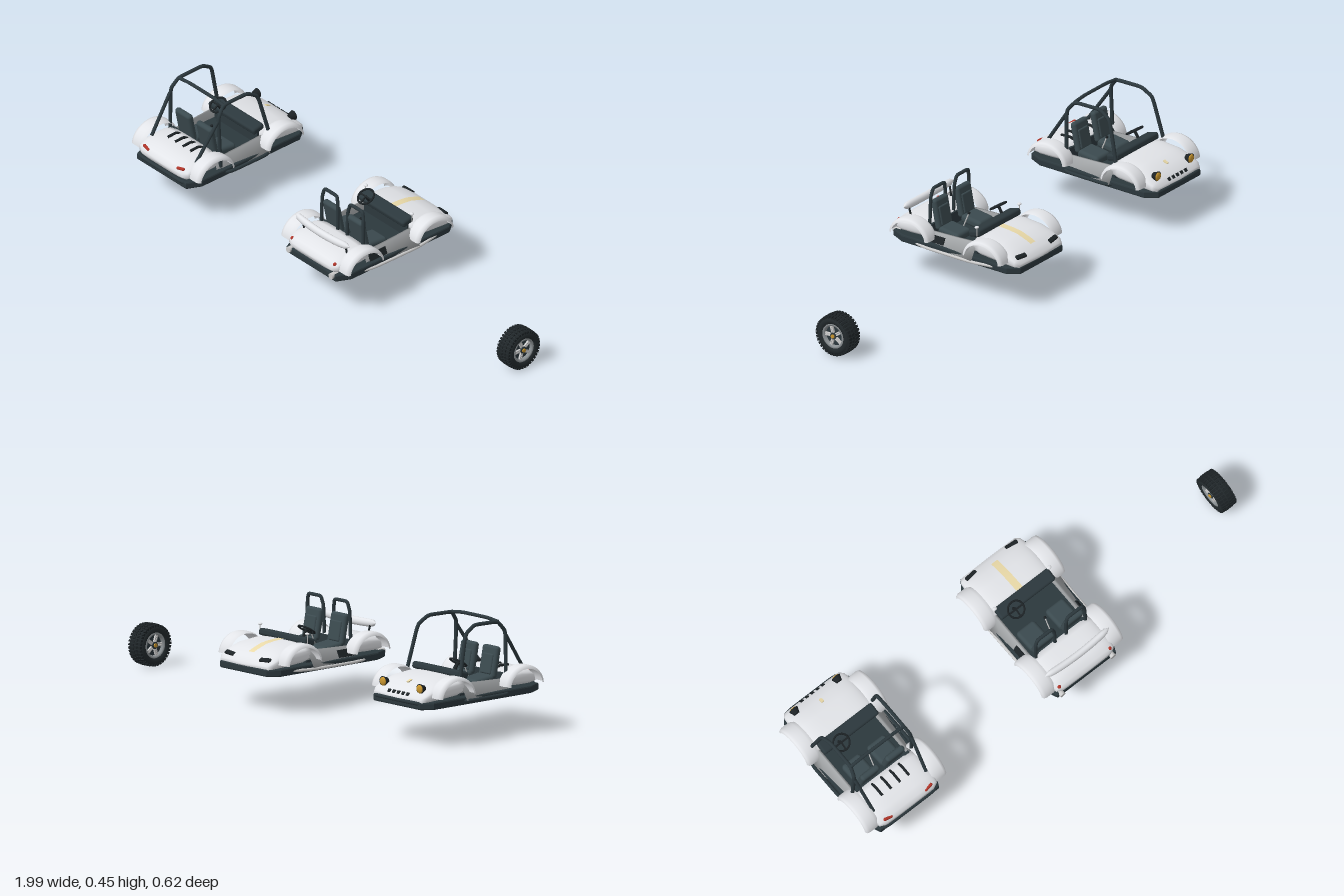
import * as THREE from 'three';
import { RoundedBoxGeometry } from 'three/addons/geometries/RoundedBoxGeometry.js';

const mat = (color, extra = {}) => new THREE.MeshStandardMaterial({ color, ...extra });
const two = { side: THREE.DoubleSide };
const M = {
  body: mat(0xe2e4e8, two), panel: mat(0xa5a8aa, two), grey: mat(0xcccccc), dark: mat(0x2c383d, two),
  black: mat(0x1d2326), seat: mat(0x3b4a4f), red: mat(0xb03428), gold: mat(0xc9962f), stripe: mat(0xe9d9a8),
};

function add(parent, name, geo, material, x = 0, y = 0, z = 0, rx = 0, ry = 0, rz = 0) {
  const m = new THREE.Mesh(geo, material);
  m.name = name;
  m.position.set(x, y, z);
  m.rotation.set(rx, ry, rz);
  parent.add(m);
  return m;
}
const box = (w, h, d) => new THREE.BoxGeometry(w, h, d);
const rbox = (w, h, d, r) => new RoundedBoxGeometry(w, h, d, 3, r);
const cyl = (r, h, n = 20, r2 = r) => new THREE.CylinderGeometry(r, r2, h, n);

// Tube with gentle corners through a few points
function tube(pts, r) {
  const v = pts.map(p => new THREE.Vector3(...p));
  const path = new THREE.CurvePath();
  let last = v[0];
  for (let i = 1; i < v.length - 1; i++) {
    const a = v[i].clone().lerp(v[i - 1], 0.2), b = v[i].clone().lerp(v[i + 1], 0.2);
    path.add(new THREE.LineCurve3(last, a));
    path.add(new THREE.QuadraticBezierCurve3(a, v[i], b));
    last = b;
  }
  path.add(new THREE.LineCurve3(last, v[v.length - 1]));
  return new THREE.TubeGeometry(path, v.length * 12, r, 10, false);
}

// Surface through a row of cross-sections
function skin(sections, closed) {
  const n = sections[0].length, idx = [];
  for (let i = 0; i < sections.length - 1; i++)
    for (let j = 0; j < (closed ? n : n - 1); j++) {
      const a = i * n + j, b = i * n + (j + 1) % n;
      idx.push(a, b, a + n, b, b + n, a + n);
    }
  const g = new THREE.BufferGeometry();
  g.setAttribute('position', new THREE.Float32BufferAttribute(sections.flat(2), 3));
  g.setIndex(idx);
  g.computeVertexNormals();
  return g;
}

// Rounded shell from stations [z, halfWidth, bottom, top]
function shell(stations) {
  return skin(stations.map(([z, w, b, t]) => Array.from({ length: 40 }, (_, i) => {
    const a = i / 40 * Math.PI * 2, p = v => Math.sign(v) * Math.abs(v) ** 0.6;
    return [w * p(Math.cos(a)), (b + t) / 2 + (t - b) / 2 * p(Math.sin(a)), z];
  })), true);
}

// Arched mudguard strip with a turned-down outer lip
function fender(s, zc) {
  const rows = [];
  for (let i = 0; i <= 24; i++) {
    const a = Math.PI * (0.03 + 0.94 * i / 24);
    rows.push([[0.135, 0.006], [0.15, 0], [0.185, 0], [0.196, 0.004], [0.2, 0.014]].map(([x, d]) =>
      [s * x, 0.183 + (0.083 - d) * Math.sin(a), zc + (0.096 - d) * Math.cos(a)]));
  }
  return skin(rows, false);
}

// Floor pan, body shells, mudguards, sills, seats and controls shared by both buggies
function buggy(name, x, seatX) {
  const g = new THREE.Group();
  g.name = name;
  g.position.x = x;
  const pan = new THREE.Shape([
    [-0.13, -0.3], [0.13, -0.3], [0.16, -0.26], [0.165, 0.24], [0.14, 0.295], [-0.14, 0.295], [-0.165, 0.24], [-0.16, -0.26],
  ].map(p => new THREE.Vector2(...p)));
  add(g, 'floorPan', new THREE.ExtrudeGeometry(pan, { depth: 0.018, bevelSize: 0.006, bevelThickness: 0.006, bevelSegments: 2 })
    .rotateX(Math.PI / 2), M.dark, 0, 0.17, 0);
  add(g, 'hood', shell([
    [-0.09, 0.001, 0.21, 0.211], [-0.09, 0.148, 0.18, 0.25], [-0.12, 0.154, 0.17, 0.252], [-0.2, 0.155, 0.165, 0.245],
    [-0.25, 0.153, 0.163, 0.228], [-0.285, 0.148, 0.163, 0.208], [-0.302, 0.136, 0.166, 0.19], [-0.306, 0.001, 0.177, 0.178],
  ]), M.body);
  add(g, 'rearDeck', shell([
    [0.135, 0.001, 0.21, 0.211], [0.135, 0.146, 0.18, 0.238], [0.16, 0.152, 0.173, 0.244], [0.21, 0.153, 0.17, 0.246],
    [0.26, 0.151, 0.17, 0.238], [0.29, 0.143, 0.174, 0.222], [0.301, 0.12, 0.183, 0.206], [0.303, 0.001, 0.195, 0.196],
  ]), M.body);
  add(g, 'cockpitFloor', box(0.27, 0.02, 0.24), M.dark, 0, 0.175, 0.02);
  add(g, 'rearBulkhead', box(0.26, 0.06, 0.01), M.dark, 0, 0.205, 0.133);
  for (const s of [1, -1]) {
    add(g, 'frontFender', fender(s, -0.165), M.body);
    add(g, 'rearFender', fender(s, 0.19), M.body);
    // Sloping sill between the shells
    add(g, 'sidePanel', skin([[0.15, 0.155, 0.208], [0.12, 0.16, 0.215], [0, 0.17, 0.22], [-0.1, 0.178, 0.226]].map(([z, w, t]) =>
      [[s * 0.13, 0.165, z], [s * 0.13, t, z], [s * 0.138, t, z], [s * w, 0.162, z], [s * 0.13, 0.16, z]]), false), M.panel);
    // Seat
    const seat = new THREE.Group();
    seat.name = 'seat';
    seat.position.x = s * seatX;
    g.add(seat);
    add(seat, 'seatCushion', rbox(0.09, 0.035, 0.1, 0.014), M.seat, 0, 0.205, 0.06, -0.12);
    add(seat, 'seatBack', rbox(0.088, 0.125, 0.026, 0.012), M.seat, 0, 0.272, 0.122, 0.2);
    add(seat, 'seatBackPad', rbox(0.06, 0.08, 0.014, 0.006), M.seat, 0, 0.265, 0.11, 0.2);
  }
  // Dashboard and steering
  add(g, 'dashboard', rbox(0.27, 0.028, 0.055, 0.01), M.dark, 0, 0.256, -0.08, 0.25);
  add(g, 'dashboardFront', box(0.25, 0.06, 0.01), M.dark, 0, 0.215, -0.084);
  const steer = new THREE.Group();
  steer.name = 'steering';
  steer.position.set(-seatX, 0.29, -0.042);
  steer.rotation.x = -Math.PI / 2 + 0.56;
  g.add(steer);
  add(steer, 'steeringWheel', new THREE.TorusGeometry(0.034, 0.004, 8, 28), M.black);
  add(steer, 'steeringSpoke', box(0.066, 0.006, 0.004), M.black);
  add(steer, 'steeringSpokeLower', box(0.006, 0.033, 0.004), M.black, 0, -0.016, 0);
  add(steer, 'steeringColumn', cyl(0.006, 0.04, 10), M.black, 0, 0, -0.02, Math.PI / 2);
  // Gear lever
  add(g, 'gearLever', tube([[0, 0.18, 0.08], [0, 0.215, 0.064], [0, 0.258, 0.046]], 0.0025), M.grey);
  add(g, 'gearKnob', new THREE.SphereGeometry(0.006, 12, 8), M.black, 0, 0.261, 0.045);
  return g;
}

// Buggy with a full roll cage
function cagedBuggy() {
  const g = buggy('cagedBuggy', -0.798, 0.062);
  for (const s of [1, -1]) {
    add(g, 'cageSide', tube([[s * 0.148, 0.18, 0.128], [s * 0.14, 0.4, 0.133], [s * 0.131, 0.441, 0.1],
      [s * 0.131, 0.444, -0.022], [s * 0.136, 0.414, -0.072], [s * 0.15, 0.25, -0.113]], 0.0075), M.dark);
    add(g, 'cageRearBrace', tube([[s * 0.14, 0.385, 0.135], [s * 0.13, 0.235, 0.238]], 0.007), M.dark);
    add(g, 'sideStep', tube([[s * 0.15, 0.16, 0.14], [s * 0.178, 0.162, 0.1], [s * 0.178, 0.162, -0.08], [s * 0.15, 0.16, -0.12]], 0.007), M.dark);
    add(g, 'headlightBody', cyl(0.02, 0.022, 20, 0.012), M.black, s * 0.105, 0.223, -0.271, -Math.PI / 2);
    add(g, 'headlightLens', new THREE.SphereGeometry(0.017, 16, 10).scale(1, 1, 0.4), M.gold, s * 0.105, 0.223, -0.282);
    add(g, 'tailLight', rbox(0.04, 0.012, 0.012, 0.005), M.red, s * 0.1, 0.216, 0.29, 0, s * 0.15, s * 0.15);
    for (const x of [0.022, 0.066])
      add(g, 'deckPipe', tube([[s * x, 0.238, 0.15], [s * x, 0.25, 0.17], [s * x, 0.247, 0.215]], 0.0055), M.black);
  }
  add(g, 'cageTopBar', tube([[-0.132, 0.441, 0.1], [-0.07, 0.448, 0.1], [0.07, 0.448, 0.1], [0.132, 0.441, 0.1]], 0.007), M.dark);
  for (let i = -2; i <= 2; i++) add(g, 'grilleSlot', box(0.014, 0.014, 0.008), M.black, i * 0.026, 0.196, -0.295, 0.6);
  // Bumpers
  for (const [name, z, in_] of [['frontBumper', -0.303, -0.27], ['rearBumper', 0.3, 0.27]])
    add(g, name, tube([[-0.14, 0.168, in_], [-0.125, 0.17, z], [0.125, 0.17, z], [0.14, 0.168, in_]], 0.008), M.dark);
  add(g, 'hoodBadge', box(0.012, 0.004, 0.02), M.stripe, 0, 0.235, -0.24, -0.4);
  return g;
}

// Open buggy with seat hoops and a rear wing
function openBuggy() {
  const g = buggy('openBuggy', 0.078, 0.072);
  for (const s of [1, -1]) {
    const x = s * 0.075;
    add(g, 'seatHoop', tube([[x - 0.048, 0.2, 0.142], [x - 0.046, 0.345, 0.138], [x - 0.036, 0.382, 0.134],
      [x + 0.036, 0.382, 0.134], [x + 0.046, 0.345, 0.138], [x + 0.048, 0.2, 0.142]], 0.007), M.dark);
    add(g, 'wingStay', tube([[s * 0.125, 0.23, 0.225], [s * 0.13, 0.29, 0.24]], 0.004), M.black);
    add(g, 'sideRail', tube([[s * 0.14, 0.168, 0.29], [s * 0.172, 0.155, 0.14], [s * 0.175, 0.157, -0.1], [s * 0.15, 0.163, -0.27]], 0.006), M.grey);
    add(g, 'sideVent', box(0.006, 0.03, 0.085), M.black, s * 0.151, 0.192, 0.092, 0, 0, s * 0.45);
    add(g, 'exhaust', cyl(0.012, 0.035), M.grey, s * 0.125, 0.168, 0.293, Math.PI / 2);
    add(g, 'headlight', rbox(0.055, 0.014, 0.02, 0.006), M.black, s * 0.1, 0.205, -0.283, -0.6, s * -0.12, 0);
    add(g, 'tailLight', new THREE.SphereGeometry(0.008, 12, 8), M.red, s * 0.125, 0.213, 0.287);
    add(g, 'mirrorStem', cyl(0.002, 0.035, 8), M.grey, s * 0.135, 0.268, -0.096);
    add(g, 'mirror', new THREE.SphereGeometry(0.01, 12, 8).scale(1, 0.5, 0.8), M.body, s * 0.135, 0.289, -0.096);
  }
  // Rear wing, bowed towards the middle
  const wing = Array.from({ length: 17 }, (_, i) => {
    const u = i / 8 - 1, k = Math.sqrt(Math.max(0, 1 - Math.abs(u) ** 8)), sag = 0.008 * (1 - u * u);
    return Array.from({ length: 16 }, (_, j) => {
      const a = j / 16 * Math.PI * 2;
      return [u * 0.16, 0.288 - sag + k * 0.016 * Math.sin(a), 0.241 + sag + k * 0.014 * Math.cos(a)];
    });
  });
  add(g, 'rearWing', skin(wing, true), M.body);
  add(g, 'hoodStripe', skin([[-0.11, 0.254], [-0.16, 0.2515], [-0.2, 0.2465], [-0.25, 0.2295], [-0.265, 0.222]].map(([z, y]) =>
    [[-0.015, y, z], [0.015, y, z]]), false), mat(0xe9d9a8, two));
  return g;
}

// Loose wheel with block tread and five split spokes
function wheel() {
  const g = new THREE.Group();
  g.name = 'looseWheel';
  g.position.set(0.958, 0.0835, 0.009);
  const spin = new THREE.Group();
  spin.rotation.z = -Math.PI / 2;
  g.add(spin);
  const prof = [[0.049, -0.03], [0.055, -0.036], [0.066, -0.0365], [0.075, -0.032], [0.079, -0.022], [0.08, 0],
    [0.079, 0.022], [0.075, 0.032], [0.066, 0.0365], [0.055, 0.036], [0.049, 0.03]].map(p => new THREE.Vector2(...p));
  add(spin, 'tire', new THREE.LatheGeometry(prof, 64), mat(0x22292c, two));
  for (let i = 0; i < 36; i++)
    for (const s of [1, -1]) {
      const a = (i + (s > 0 ? 0.5 : 0)) / 36 * Math.PI * 2;
      const place = (name, geo, r, y) => add(spin, name, geo, M.black, r * Math.sin(a), y, r * Math.cos(a), 0, a, 0);
      place('treadBlock', box(0.009, 0.013, 0.006), 0.0805, s * 0.009);
      place('shoulderBlock', box(0.009, 0.016, 0.01), 0.0765, s * 0.026);
    }
  add(spin, 'rimBarrel', cyl(0.049, 0.04, 48), M.dark);
  for (const s of [1, -1]) {
    add(spin, 'rimRing', new THREE.LatheGeometry([[0.04, 0.02], [0.042, 0.031], [0.05, 0.033], [0.051, 0.028]]
      .map(([r, y]) => new THREE.Vector2(r, s * y)), 48), mat(0x8b9194, two));
    for (let i = 0; i < 5; i++) {
      const a = i / 5 * Math.PI * 2 - Math.PI / 2;
      for (const o of [-0.0035, 0.0035])
        add(spin, 'spoke', box(0.033, 0.008, 0.0055), M.grey,
          0.027 * Math.cos(a) - o * Math.sin(a), s * 0.024, -0.027 * Math.sin(a) - o * Math.cos(a), 0, a, 0);
    }
    add(spin, 'hub', cyl(0.014, 0.014), M.dark, 0, s * 0.024, 0);
    add(spin, 'hubCap', cyl(0.008, 0.008, 12), M.gold, 0, s * 0.032, 0);
  }
  return g;
}

export function createModel() {
  const model = new THREE.Group();
  model.name = 'buggyKit';
  model.add(cagedBuggy(), openBuggy(), wheel());
  return model;
}
